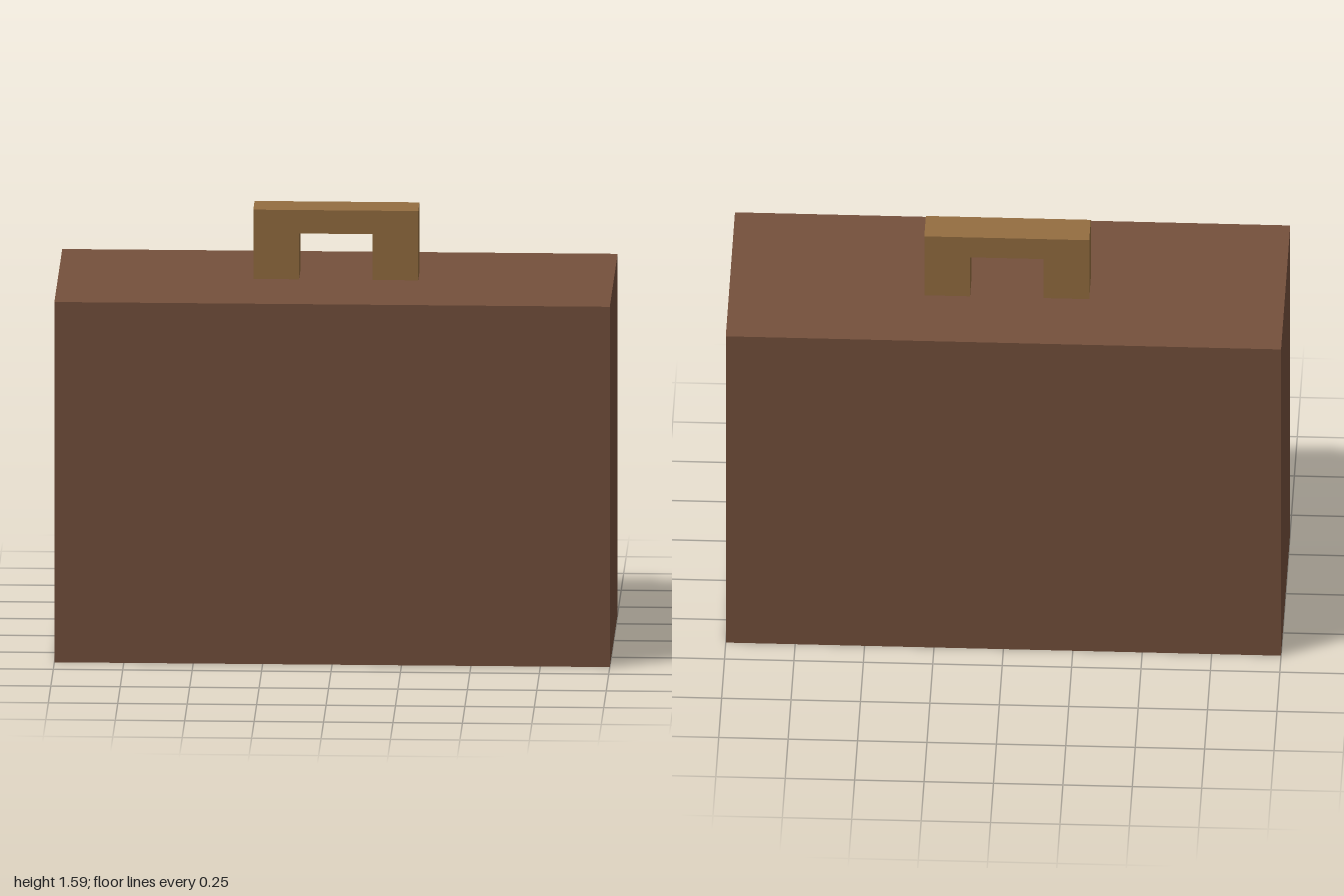
import * as THREE from 'three';

const BODY = { width: 2, height: 1.336, depth: 0.79 };

export function createModel() {
  const model = new THREE.Group();
  model.name = 'suitcase';

  const leather = new THREE.MeshStandardMaterial({ color: 0x75503c });
  const tan = new THREE.MeshStandardMaterial({ color: 0x946e40 });

  // Plain box case
  const body = new THREE.Mesh(new THREE.BoxGeometry(BODY.width, BODY.height, BODY.depth), leather);
  body.name = 'caseBody';
  body.position.y = BODY.height / 2;
  model.add(body);

  // Square arch handle, set a little behind the middle
  const outer = 0.297, inner = 0.132, gapTop = 0.17, top = 0.257, depth = 0.13;
  const arch = new THREE.Shape([
    [-outer, 0], [-inner, 0], [-inner, gapTop], [inner, gapTop],
    [inner, 0], [outer, 0], [outer, top], [-outer, top],
  ].map(([x, y]) => new THREE.Vector2(x, y)));
  const handle = new THREE.Mesh(
    new THREE.ExtrudeGeometry(arch, { depth, bevelEnabled: false }), tan);
  handle.name = 'handle';
  handle.position.set(0, BODY.height, -0.104);
  model.add(handle);

  return model;
}
